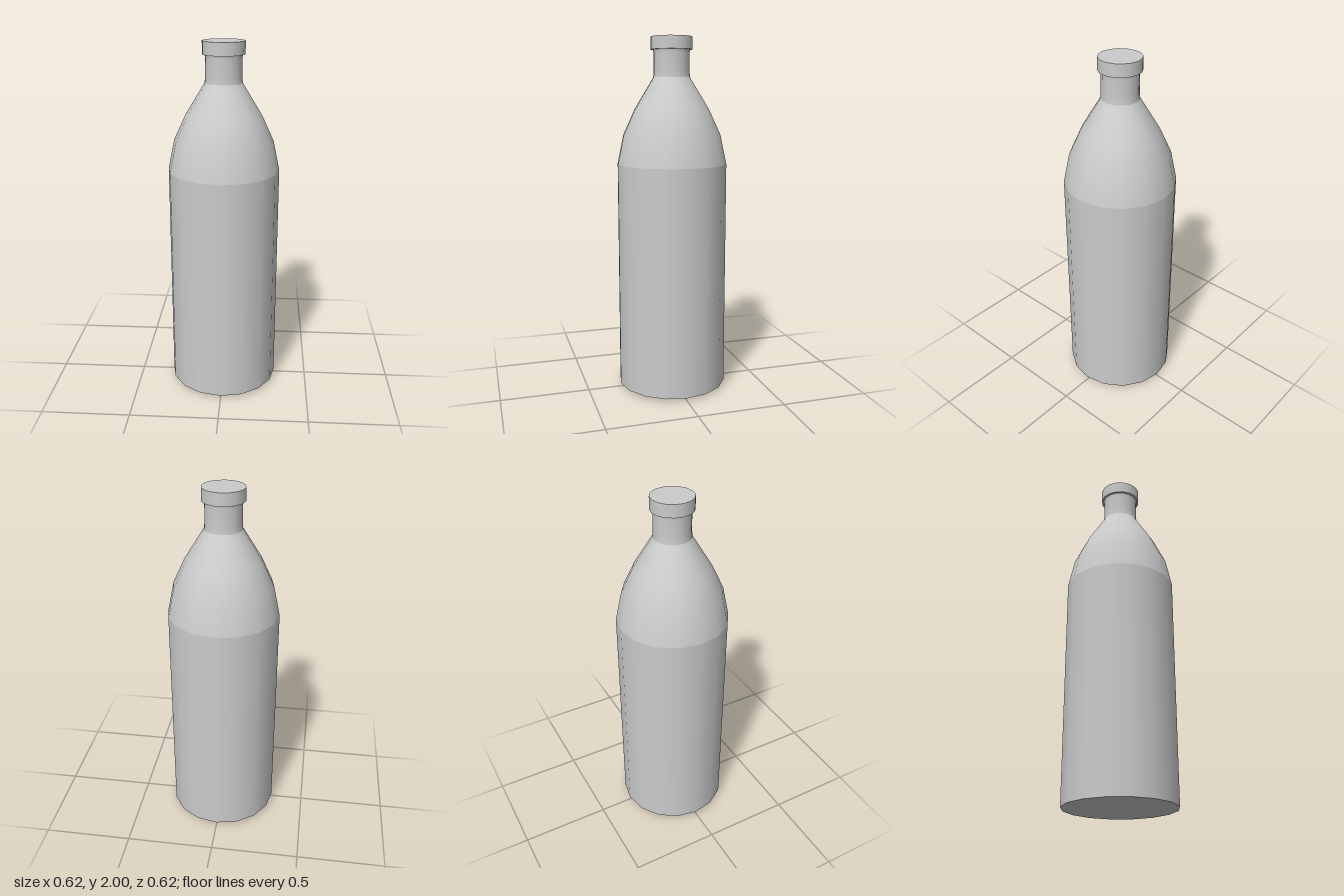
import * as THREE from 'three';

const SIDES = 16;

// Each section is a [radius, height] profile running bottom to top, smooth
// within itself and sharp where it meets the next section.
const sections = {
  base: [[0, 0], [0.31, 0.018]],
  body: [[0.31, 0.018], [0.31, 1.3]],
  shoulder: [[0.31, 1.3], [0.275, 1.465], [0.21, 1.605], [0.103, 1.78]],
  neck: [[0.103, 1.78], [0.1, 1.81], [0.1, 1.915], [0.104, 1.93]],
  capUnderside: [[0.1, 1.93], [0.116, 1.93]],
  capRim: [[0.116, 1.93], [0.116, 2]],
  capTop: [[0.116, 2], [0, 2]],
};

export function createModel() {
  const bottle = new THREE.Group();
  bottle.name = 'bottle';
  const cap = new THREE.Group();
  cap.name = 'cap';
  bottle.add(cap);

  const material = new THREE.MeshStandardMaterial({ color: 0xcccccc });
  for (const [name, profile] of Object.entries(sections)) {
    const points = profile.map(([r, y]) => new THREE.Vector2(r, y));
    const mesh = new THREE.Mesh(new THREE.LatheGeometry(points, SIDES), material);
    mesh.name = name;
    (name.startsWith('cap') ? cap : bottle).add(mesh);
  }
  return bottle;
}
